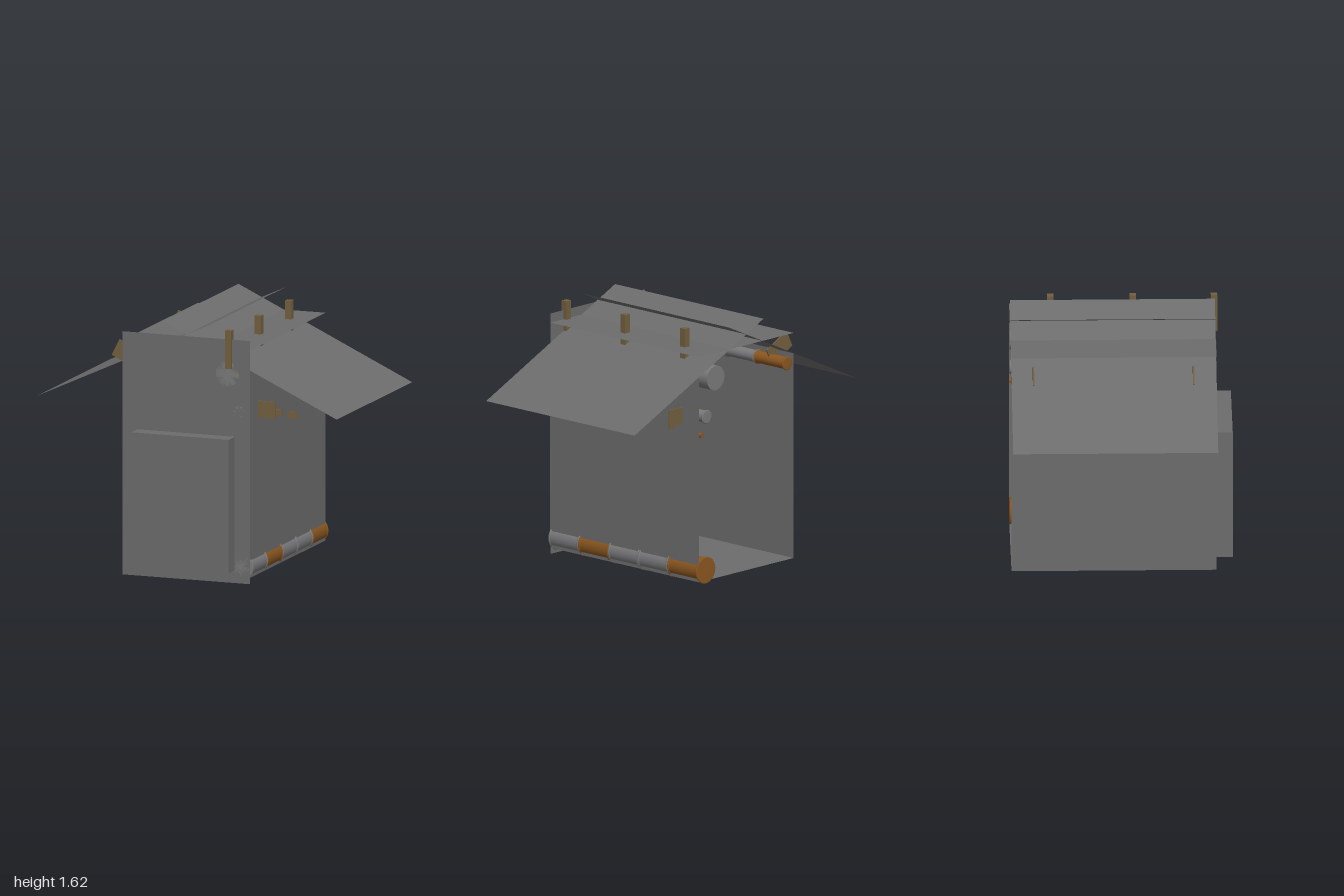
import * as THREE from 'three';

const mat = (name, color, side = THREE.FrontSide) => {
  const m = new THREE.MeshStandardMaterial({ color, side });
  m.name = name;
  return m;
};

const Z0 = -0.685, Z1 = 0.583; // back and front of the shed
const ZM = (Z0 + Z1) / 2, LEN = Z1 - Z0;
const W = 0.425; // half width of the body

export function createModel() {
  const group = new THREE.Group();
  const wall = mat('wallGrey', 0x6c6c6c, THREE.DoubleSide);
  const steel = mat('steelGrey', 0x7a7a7c);
  const copper = mat('copperBrown', 0x8a5620);
  const wood = mat('woodBrown', 0x725f3f);

  const add = (name, geo, material, x = 0, y = 0, z = 0) => {
    const m = new THREE.Mesh(geo, material);
    m.name = name;
    m.position.set(x, y, z);
    group.add(m);
    return m;
  };
  const box = (name, material, x0, x1, y0, y1, z0, z1) =>
    add(name, new THREE.BoxGeometry(x1 - x0, y1 - y0, z1 - z0), material,
      (x0 + x1) / 2, (y0 + y1) / 2, (z0 + z1) / 2);

  // Thin sheet running the full depth between two points of the cross-section
  const sheet = (name, xa, ya, xb, yb) => {
    const g = new THREE.PlaneGeometry(Math.hypot(xb - xa, yb - ya), LEN);
    g.rotateX(-Math.PI / 2);
    const m = add(name, g, wall, (xa + xb) / 2, (ya + yb) / 2, ZM);
    m.rotation.z = Math.atan2(yb - ya, xb - xa);
  };

  // Shell: front wall, open back, floor, ceiling and sides
  add('frontWall', new THREE.PlaneGeometry(2 * W, 1.533), wall, 0, 0.7665, Z1);
  sheet('floor', -W, 0.04, W, 0.04);
  sheet('ceiling', -W, 1.475, W, 1.475);
  sheet('leftWall', W, 0.04, W, 1.345);
  sheet('rightWall', -W, 0.04, -W, 1.345);
  box('door', wall, -0.324, 0.322, 0.08, 0.922, Z1, 0.685);

  // Roof sheets that cross each other at the ridge
  sheet('leftRoof', -0.155, 1.615, 1, 1.08);
  sheet('rightRoof', -1, 1.08, 0.155, 1.615);

  // Roof posts
  for (const z of [0.58, 0.078, -0.432])
    box('roofPost', wood, 0.263, 0.305, 1.35, 1.592, z - 0.02, z + 0.02);

  // Tilted braces through the right roof
  for (const z of [0.44, -0.55]) {
    const b = add('roofBrace', new THREE.BoxGeometry(0.2, 0.112, 0.008), wood, -0.436, 1.355, z);
    b.rotation.z = -0.464;
  }

  // Bracket plates through the left wall: z, outer x, bottom, top, inner x
  for (const [z, x, y0, y1, xi] of [
    [0.447, 0.54, 1.028, 1.132, 0.27], [-0.542, 0.54, 1.028, 1.132, 0.27],
    [0.162, 0.47, 0.984, 1.026, 0.34], [-0.472, 0.47, 0.984, 1.026, 0.34],
    [-0.048, 0.492, 0.93, 0.972, 0.36],
  ]) box('pipeBracket', wood, xi, x, y0, y1, z - 0.004, z + 0.004);

  // Pipe built from flanged sections, front to back
  const sectionPipe = (name, x, y, r, flange, materials) => {
    const n = materials.length, h = LEN / n, f = flange - r, e = 0.012;
    const pts = [[0, 0], [r, 0], [r + f * 0.8, e * 0.15], [flange, e * 0.5], [r + f * 0.8, e * 0.9], [r, e * 1.1],
      [r, h - e * 1.1], [r + f * 0.8, h - e * 0.9], [flange, h - e * 0.5], [r + f * 0.8, h - e * 0.15], [r, h], [0, h]]
      .map(([a, b]) => new THREE.Vector2(a, b));
    const geo = new THREE.LatheGeometry(pts, 28);
    geo.rotateX(Math.PI / 2);
    materials.forEach((m, i) => add(name, geo, m, x, y, Z1 - (i + 1) * h));
  };
  const plainPipe = (name, x, y, r, material) => {
    const g = new THREE.CylinderGeometry(r, r, LEN, 24);
    g.rotateX(Math.PI / 2);
    add(name, g, material, x, y, ZM);
  };
  sectionPipe('lowerPipe', 0.36, 0.104, 0.079, 0.086, [steel, copper, steel, steel, copper]);
  sectionPipe('sidePipe', -0.37, 1.29, 0.038, 0.044, [copper, copper, steel, steel, copper]);
  sectionPipe('smallPipe', 0.35, 1.08, 0.038, 0.044, [steel, steel, steel, steel, steel]);
  plainPipe('largePipe', 0.273, 1.315, 0.078, steel);
  plainPipe('thinPipe', 0.395, 0.97, 0.015, copper);

  return group;
}
